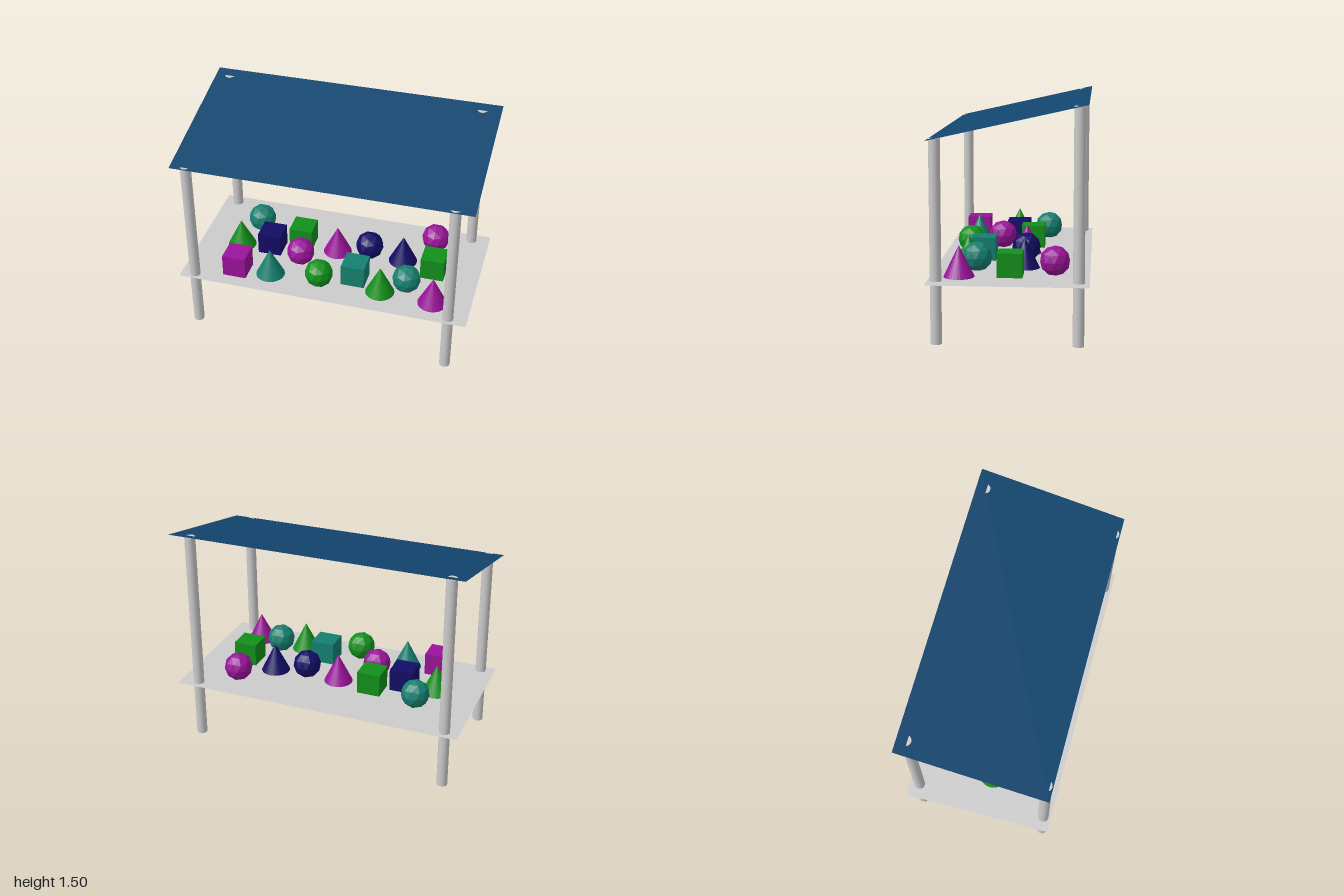
import * as THREE from 'three';

const COLORS = { green: 0x12901a, purple: 0x9a139a, teal: 0x148070, navy: 0x120c66 };
const SHELF_Y = 0.4;
const BASE_Y = 0.398; // goods sink very slightly through the shelf

// Goods on the shelf: shape, colour, x, z
const GOODS = [
  ['cone', 'green', -0.70, 0.04], ['ball', 'teal', -0.62, -0.185],
  ['cube', 'purple', -0.63, 0.33], ['cube', 'navy', -0.475, 0.025],
  ['cone', 'teal', -0.40, 0.31], ['cube', 'green', -0.28, -0.09],
  ['ball', 'purple', -0.237, 0.125], ['cone', 'purple', -0.02, -0.06],
  ['ball', 'green', -0.047, 0.325], ['cube', 'teal', 0.18, 0.215],
  ['ball', 'navy', 0.21, -0.07], ['cone', 'green', 0.375, 0.30],
  ['cone', 'navy', 0.45, -0.075], ['ball', 'teal', 0.54, 0.225],
  ['ball', 'purple', 0.64, -0.28], ['cube', 'green', 0.685, 0],
  ['cone', 'purple', 0.74, 0.32],
];

export function createModel() {
  const group = new THREE.Group();
  const grey = new THREE.MeshStandardMaterial({ color: 0xcccccc });
  const greySheet = new THREE.MeshStandardMaterial({ color: 0xcccccc, side: THREE.DoubleSide });
  const blueSheet = new THREE.MeshStandardMaterial({ color: 0x12456f, side: THREE.DoubleSide });

  const add = (name, geometry, material, x, y, z) => {
    const mesh = new THREE.Mesh(geometry, material);
    mesh.name = name;
    mesh.position.set(x, y, z);
    group.add(mesh);
    return mesh;
  };

  // Thin shelf
  add('shelf', new THREE.PlaneGeometry(2, 1.006).rotateX(-Math.PI / 2), greySheet, 0, SHELF_Y, 0);

  // Thin roof sloping down towards the front
  const rise = 0.22, run = 0.982;
  const roof = add('roof', new THREE.PlaneGeometry(2, Math.hypot(rise, run)).rotateX(-Math.PI / 2),
    blueSheet, 0, 1.39, 0);
  roof.rotation.x = Math.atan2(rise, run);

  // Posts: short at the front, tall at the back, tops just breaking the roof
  for (const [side, x] of [['Left', 0.872], ['Right', -0.902]]) {
    for (const [end, z, h] of [['front', 0.449, 1.285], ['back', -0.436, 1.485]]) {
      add(`${end}${side}Post`, new THREE.CylinderGeometry(0.036, 0.036, h, 32), grey, x, h / 2, z);
    }
  }

  // Shared goods geometries, each with its centre height
  const shapes = {
    cone: [new THREE.ConeGeometry(0.1, 0.203, 32), BASE_Y + 0.1015],
    cube: [new THREE.BoxGeometry(0.162, 0.158, 0.162), BASE_Y + 0.079],
    // Turned so that a vertex points straight up
    ball: [new THREE.IcosahedronGeometry(0.098, 1).rotateX(-Math.atan((1 + Math.sqrt(5)) / 2)), 0.489],
  };
  const paints = {};
  for (const key in COLORS) {
    paints[key] = new THREE.MeshStandardMaterial({ color: COLORS[key], flatShading: true });
  }
  for (const [shape, color, x, z] of GOODS) {
    const [geometry, y] = shapes[shape];
    add(`${color} ${shape}`, geometry, paints[color], x, y, z);
  }

  return group;
}
